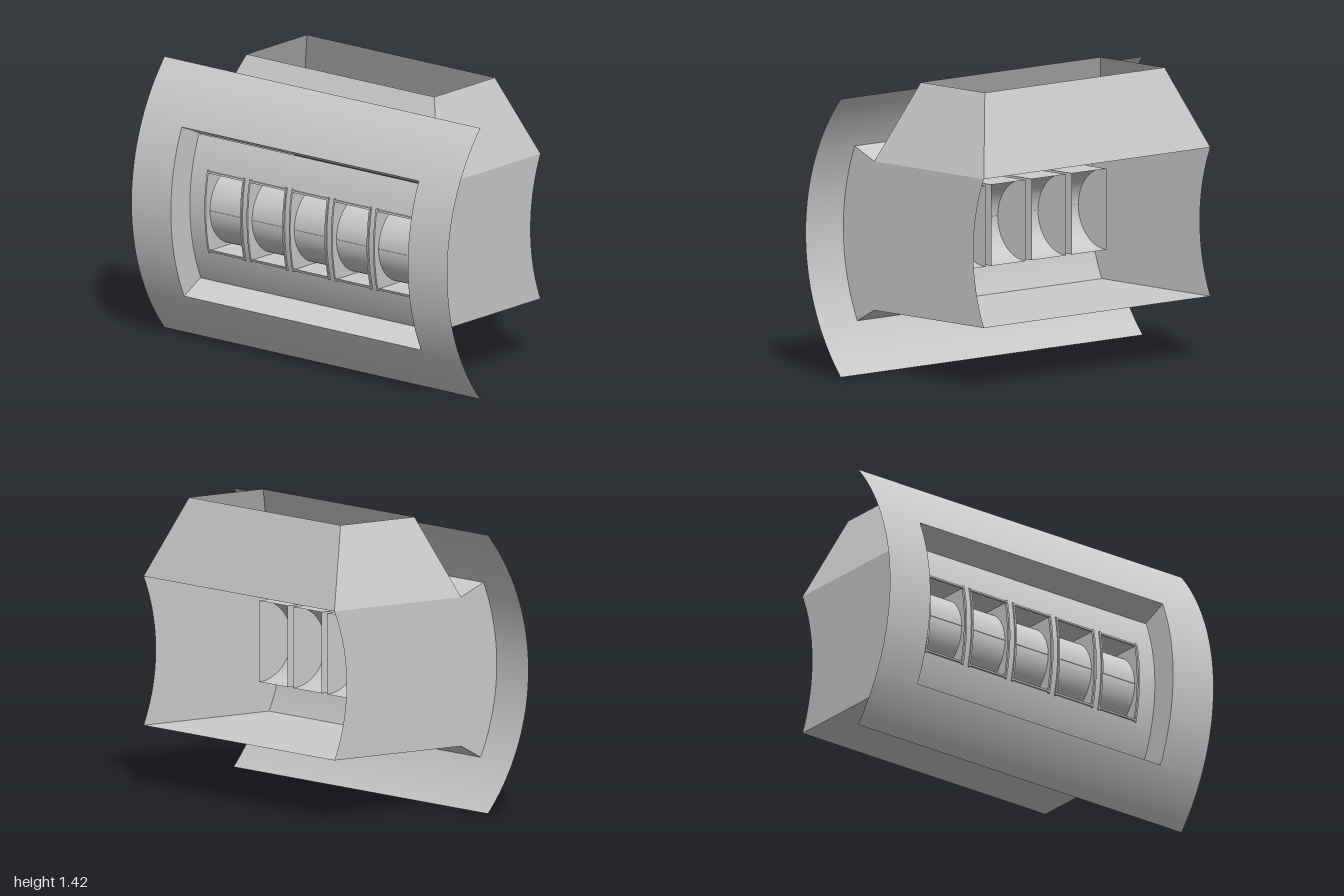
import * as THREE from 'three';

const material = new THREE.MeshStandardMaterial({ color: 0xcccccc, side: THREE.DoubleSide });

// Front surfaces are concentric arcs about a horizontal axis
const CY = 0.6825, CZ = -0.557, R_PLATE = 1.057, R_PANEL = 0.914;
const HALF = 0.75;                 // half width of recess and housing
const LOW = 0.235, HIGH = 1.09;    // recess opening
const FLOOR = 0.3, ROOF = 1.03;    // housing
const JOIN_Z = 0.28, BACK_Z = -0.5;

// Points [z, y] on a front arc between two heights
function arc(r, y0, y1, n = 24) {
  const a0 = Math.asin((y0 - CY) / r), a1 = Math.asin((y1 - CY) / r);
  return Array.from({ length: n + 1 }, (_, i) => {
    const a = a0 + (a1 - a0) * i / n;
    return [CZ + r * Math.cos(a), CY + r * Math.sin(a)];
  });
}

export function createModel() {
  const model = new THREE.Group();

  function add(name, geometry, parent = model) {
    const mesh = new THREE.Mesh(geometry, material);
    mesh.name = name;
    parent.add(mesh);
    return mesh;
  }

  // Thin sheet: a [z, y] profile running upward, swept from x0 to x1
  function sheet(name, profile, x0, x1, parent) {
    const pos = [], index = [];
    profile.forEach(([z, y], i) => {
      pos.push(x0, y, z, x1, y, z);
      if (i) {
        const a = 2 * i - 2;
        index.push(a, a + 1, a + 3, a, a + 3, a + 2);
      }
    });
    const g = new THREE.BufferGeometry();
    g.setAttribute('position', new THREE.Float32BufferAttribute(pos, 3));
    g.setIndex(index);
    g.computeVertexNormals();
    return add(name, g, parent);
  }

  const outline = pts => new THREE.Shape(pts.map(([z, y]) => new THREE.Vector2(z, y)));

  // Flat wall of the given [z, y] outline, facing +x
  function wall(name, pts, x, parent) {
    const g = new THREE.ShapeGeometry(outline(pts));
    g.rotateY(-Math.PI / 2).translate(x, 0, 0);
    return add(name, g, parent);
  }

  // Solid curved bar between two radii
  function bar(name, r0, r1, y0, y1, x0, x1, parent) {
    const pts = [...arc(r1, y0, y1, 12), ...arc(r0, y0, y1, 12).reverse()];
    const g = new THREE.ExtrudeGeometry(outline(pts), { depth: x1 - x0, bevelEnabled: false });
    g.rotateY(-Math.PI / 2).translate(x1, 0, 0);
    return add(name, g, parent);
  }

  // Curved front plate around the recess
  const plate = new THREE.Group();
  plate.name = 'frontPlate';
  model.add(plate);
  sheet('plateBottom', arc(R_PLATE, 0, LOW), -1, 1, plate);
  sheet('plateTop', arc(R_PLATE, HIGH, 1.365), -1, 1, plate);
  for (const s of [-1, 1]) {
    sheet('plateSide', arc(R_PLATE, LOW, HIGH), s < 0 ? -1 : HALF, s < 0 ? -HALF : 1, plate);
  }

  // Sloping recess ledges
  const lowEdge = arc(R_PLATE, LOW, HIGH)[0], highEdge = arc(R_PLATE, LOW, HIGH).at(-1);
  sheet('recessBottom', [lowEdge, [JOIN_Z, FLOOR]], -HALF, HALF);
  sheet('recessTop', [[JOIN_Z, ROOF], highEdge], -HALF, HALF);

  // Housing sides with a hollowed back edge, and the floor
  const backArc = Array.from({ length: 25 }, (_, i) => {
    const y = ROOF + (FLOOR - ROOF) * i / 24;
    return [-1.351 + Math.sqrt(0.926 ** 2 - (y - 0.665) ** 2), y];
  });
  backArc[0][0] = backArc[24][0] = BACK_Z;
  const side = [...arc(R_PLATE, LOW, HIGH), [JOIN_Z, ROOF], ...backArc, [JOIN_Z, FLOOR]];
  for (const s of [-1, 1]) wall('housingSide', side, s * HALF);
  sheet('housingFloor', [[JOIN_Z, FLOOR], [BACK_Z, FLOOR]], -HALF, HALF);

  // Open tapered hood
  const ring = (w, y, zf, zb) => [[-w, y, zf], [w, y, zf], [w, y, zb], [-w, y, zb]];
  const base = ring(HALF, ROOF, JOIN_Z, BACK_Z), top = ring(0.595, 1.42, 0.115, -0.34);
  const hoodPos = [];
  for (let i = 0; i < 4; i++) {
    const j = (i + 1) % 4;
    hoodPos.push(...base[i], ...base[j], ...top[j], ...base[i], ...top[j], ...top[i]);
  }
  const hood = new THREE.BufferGeometry();
  hood.setAttribute('position', new THREE.Float32BufferAttribute(hoodPos, 3));
  hood.computeVertexNormals();
  add('hood', hood);

  // Recessed panel with five window openings
  const W = 0.113, Y0 = 0.468, Y1 = 0.866, PITCH = 0.267;
  const panel = new THREE.Group();
  panel.name = 'recessedPanel';
  model.add(panel);
  sheet('panelBottom', arc(R_PANEL, FLOOR, Y0), -HALF, HALF, panel);
  sheet('panelTop', arc(R_PANEL, Y1, ROOF), -HALF, HALF, panel);
  for (let i = 0; i <= 5; i++) {
    const x0 = i === 0 ? -HALF : (i - 3) * PITCH + W;
    const x1 = i === 5 ? HALF : (i - 2) * PITCH - W;
    sheet('panelPost', arc(R_PANEL, Y0, Y1), x0, x1, panel);
  }

  // Each window: raised frame, pocket walls, half-drum reel and centre line
  const MID = (Y0 + Y1) / 2, R_REEL = (Y1 - Y0) / 2, REEL_Z = 0.13;
  const front = arc(R_PANEL, Y0, Y1);
  const reelArc = Array.from({ length: 33 }, (_, i) => {
    const a = -Math.PI / 2 + Math.PI * i / 32;
    return [REEL_Z + R_REEL * Math.cos(a), MID + R_REEL * Math.sin(a)];
  });
  for (let i = -2; i <= 2; i++) {
    const x = i * PITCH, xa = x - W, xb = x + W, t = 0.009;
    const unit = new THREE.Group();
    unit.name = 'reelWindow';
    model.add(unit);
    for (const s of [-1, 1]) {
      const e = x + s * W, y = s < 0 ? Y0 : Y1;
      bar('frameSide', R_PANEL - 0.005, R_PANEL + 0.008, Y0 - t, Y1 + t, e - t / 2, e + t / 2, unit);
      bar('frameRail', R_PANEL - 0.005, R_PANEL + 0.008, y - t / 2, y + t / 2, xa, xb, unit);
      wall('pocketSide', [...front, [REEL_Z, Y1], [REEL_Z, Y0]], e, unit);
    }
    sheet('pocketFloor', [front[0], [REEL_Z, Y0]], xa, xb, unit);
    sheet('pocketCeiling', [[REEL_Z, Y1], front.at(-1)], xa, xb, unit);
    sheet('reel', reelArc, xa, xb, unit);
    const line = add('reelLine', new THREE.BoxGeometry(2 * W, 0.005, 0.006), unit);
    line.position.set(x, MID, REEL_Z + R_REEL);
  }
  return model;
}
